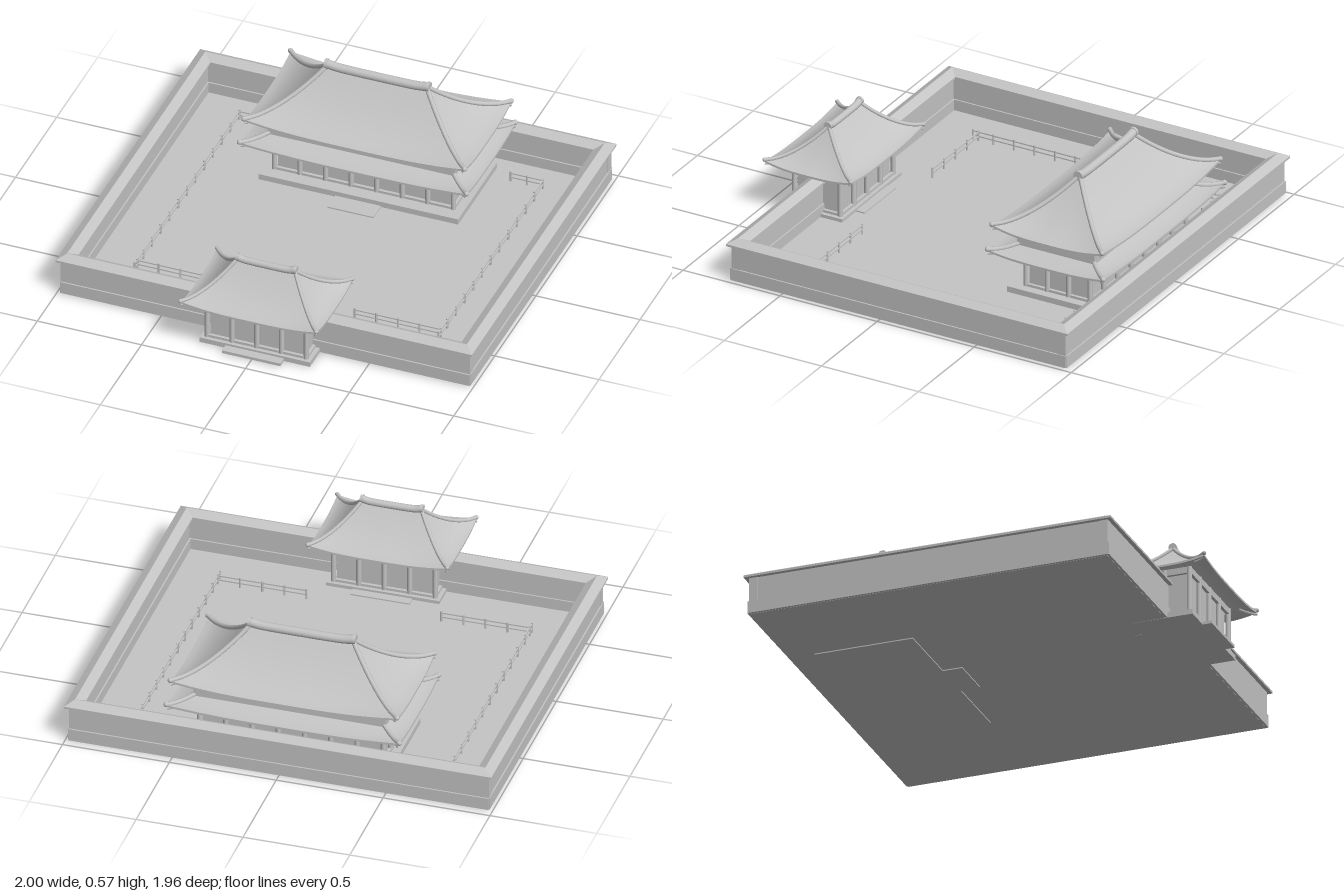
import * as THREE from 'three';
import { ParametricGeometry } from 'three/addons/geometries/ParametricGeometry.js';

const stone = new THREE.MeshStandardMaterial({ color: 0xc4c4c4 });
stone.name = 'pale grey';

function add(parent, name, geometry, x = 0, y = 0, z = 0) {
  const mesh = new THREE.Mesh(geometry, stone);
  mesh.name = name;
  mesh.position.set(x, y, z);
  parent.add(mesh);
  return mesh;
}

// Box given by its minimum and maximum on each axis
function block(parent, name, x0, x1, y0, y1, z0, z1) {
  return add(parent, name, new THREE.BoxGeometry(x1 - x0, y1 - y0, z1 - z0),
    (x0 + x1) / 2, (y0 + y1) / 2, (z0 + z1) / 2);
}

function group(parent, name, z = 0) {
  const g = new THREE.Group();
  g.name = name;
  g.position.z = z;
  parent.add(g);
  return g;
}

// Curved hip roof: r* = inner rectangle at the top, e* = eave rectangle
function hipRoof(parent, name, { rx, rz, ex, ez, yTop, yEave, lift, power, thick = 0.01, hip = 0.011 }) {
  const roof = group(parent, name);
  const height = (t, u) => yEave + (yTop - yEave) * Math.pow(1 - t, power) + lift * t * t * Math.abs(u) ** 3;
  for (let k = 0; k < 4; k++) {
    const [ra, ea, ro, eo] = k % 2 ? [rz, ez, rx, ex] : [rx, ex, rz, ez];
    const point = (t, u, drop, out) =>
      out.set((ra + (ea - ra) * t) * u, height(t, u) - drop, ro + (eo - ro) * t);
    const sheet = (part, fn, rows) => {
      const g = new ParametricGeometry(fn, 24, rows);
      g.computeVertexNormals();
      g.rotateY(k * Math.PI / 2);
      add(roof, part, g);
    };
    sheet('roofSlope', (u, v, o) => point(1 - v, 2 * u - 1, 0, o), 12);
    sheet('roofUnderside', (u, v, o) => point(1 - v, 1 - 2 * u, thick, o), 12);
    sheet('eaveEdge', (u, v, o) => point(1, 2 * u - 1, thick * (1 - v), o), 1);
  }
  // Hip ridges with a rafter below each corner
  for (const sx of [-1, 1]) for (const sz of [-1, 1]) {
    const along = (t, dy) => new THREE.Vector3(sx * (rx + (ex - rx) * t), height(t, 1) + dy, sz * (rz + (ez - rz) * t));
    const line = (from, dy) => new THREE.CatmullRomCurve3(
      Array.from({ length: 8 }, (_, i) => along(from + (1 - from) * i / 7, dy)));
    add(roof, 'hipRidge', new THREE.TubeGeometry(line(0, 0.003), 16, hip, 8));
    add(roof, 'cornerRafter', new THREE.TubeGeometry(line(0.7, -thick - 0.007), 6, hip * 0.7, 6));
    const tip = along(1, 0.003);
    add(roof, 'hipTip', new THREE.SphereGeometry(hip * 1.1, 10, 8), tip.x, tip.y, tip.z);
  }
  return roof;
}

// Rounded main ridge that rises slightly at both ends
function mainRidge(parent, half, y, radius, rise) {
  const pts = [-1, -0.8, -0.4, 0, 0.4, 0.8, 1].map(s =>
    new THREE.Vector3(s * half, y + rise * Math.abs(s) ** 6, 0));
  add(parent, 'mainRidge', new THREE.TubeGeometry(new THREE.CatmullRomCurve3(pts), 24, radius, 12));
  for (const s of [-1, 1]) {
    const end = new THREE.CylinderGeometry(radius * 1.1, radius * 1.1, 0.014, 14);
    add(parent, 'ridgeEnd', end.rotateZ(Math.PI / 2), s * half, y + rise, 0);
  }
}

// Recessed walls between columns, with sills and beams on each side
function timberBody(parent, hx, hz, y0, y1, baysX, baysZ, r) {
  const body = group(parent, 'timberBody');
  const h = y1 - y0;
  block(body, 'wallPanels', -hx + r, hx - r, y0, y1, -hz + r, hz - r);
  const column = (x, z) => add(body, 'column', new THREE.CylinderGeometry(r, r, h, 10), x, y0 + h / 2, z);
  for (const s of [-1, 1]) {
    for (let i = 0; i <= baysX; i++) column(-hx + 2 * hx * i / baysX, s * hz);
    for (let i = 1; i < baysZ; i++) column(s * hx, -hz + 2 * hz * i / baysZ);
    for (const [a, b] of [[y0, y0 + 0.012], [y1 - 0.03, y1]]) {
      block(body, 'beam', -hx, hx, a, b, s * hz - r * 0.6, s * hz + r * 0.6);
      block(body, 'beam', s * hx - r * 0.6, s * hx + r * 0.6, a, b, -hz, hz);
    }
  }
}

// Courtyard wall along x: plinth, body and peaked coping
function wallRun(parent, length, x, z, turn) {
  const wall = group(parent, 'courtyardWall', z);
  wall.position.x = x;
  wall.rotation.y = turn;
  const h = length / 2;
  block(wall, 'wallPlinth', -h, h, 0.006, 0.065, -0.027, 0.027);
  block(wall, 'wallBody', -h, h, 0.06, 0.185, -0.02, 0.02);
}

// Coping section swept along x with mitred ends
function coping(parent, x0, x1, z, turn, miter0, miter1) {
  const shape = new THREE.Shape([[-0.04, 0.178], [0.04, 0.178], [0.04, 0.188], [0, 0.21], [-0.04, 0.188]]
    .map(p => new THREE.Vector2(...p)));
  const g = new THREE.ExtrudeGeometry(shape, { depth: 1, bevelEnabled: false });
  const p = g.attributes.position;
  for (let i = 0; i < p.count; i++) {
    // Local x of the section points away from the courtyard
    const out = p.getX(i), end = p.getZ(i) > 0.5;
    const along = end ? x1 + out * miter1 : x0 - out * miter0;
    p.setXYZ(i, -along, p.getY(i), out);
  }
  // Sections run from +x to -x here, which keeps the faces outward
  g.translate(0, 0, z);
  g.rotateY(turn);
  g.computeVertexNormals();
  add(parent, 'wallCoping', g);
}

// Low fence: posts and two rails between two points
function fence(parent, ax, az, bx, bz, bays) {
  const run = group(parent, 'courtyardFence');
  for (let i = 0; i <= bays; i++) {
    const t = i / bays;
    add(run, 'fencePost', new THREE.CylinderGeometry(0.005, 0.005, 0.056, 6), ax + (bx - ax) * t, 0.036, az + (bz - az) * t);
  }
  for (const y of [0.035, 0.056]) block(run, 'fenceRail',
    Math.min(ax, bx) - 0.003, Math.max(ax, bx) + 0.003, y - 0.003, y + 0.003,
    Math.min(az, bz) - 0.003, Math.max(az, bz) + 0.003);
}

export function createModel() {
  const model = new THREE.Group();
  model.name = 'walledTempleCourt';

  // Ground and enclosing walls
  block(model, 'courtyardFloor', -0.975, 0.975, 0.005, 0.012, -0.955, 0.755);
  const zBack = -0.94, zFront = 0.74, xSide = 0.96, gap = 0.23;
  wallRun(model, 1.966, 0, zBack, 0);
  for (const s of [-1, 1]) {
    wallRun(model, zFront - zBack + 0.04, s * xSide, (zFront + zBack) / 2, Math.PI / 2);
    wallRun(model, 0.983 - gap, s * (0.983 + gap) / 2, zFront, 0);
  }
  coping(model, -xSide, xSide, -zBack, Math.PI, 1, 1);
  coping(model, -xSide, -gap, zFront, 0, 1, 0);
  coping(model, gap, xSide, zFront, 0, 0, 1);
  coping(model, zBack, zFront, xSide, Math.PI / 2, 1, 1);
  coping(model, -zFront, -zBack, xSide, -Math.PI / 2, 1, 1);

  // Main hall with two roofs
  const hall = group(model, 'mainHall', -0.605);
  block(hall, 'hallPlatform', -0.48, 0.48, 0, 0.04, -0.235, 0.235);
  block(hall, 'hallStep', -0.11, 0.11, 0, 0.018, 0.235, 0.328);
  timberBody(hall, 0.43, 0.165, 0.04, 0.235, 7, 3, 0.012);
  hipRoof(hall, 'lowerRoof', { rx: 0.44, rz: 0.19, ex: 0.545, ez: 0.298, yTop: 0.25, yEave: 0.218, lift: 0.018, power: 1.5 });
  block(hall, 'upperStorey', -0.45, 0.45, 0.225, 0.345, -0.2, 0.2);
  hipRoof(hall, 'upperRoof', { rx: 0.24, rz: 0.005, ex: 0.53, ez: 0.284, yTop: 0.54, yEave: 0.33, lift: 0.028, power: 1.6 });
  mainRidge(hall, 0.245, 0.541, 0.021, 0.01);

  // Entrance gate
  const gate = group(model, 'entranceGate', 0.745);
  block(gate, 'gatePlinth', -0.265, 0.265, 0.004, 0.028, -0.143, 0.143);
  block(gate, 'gateStep', -0.14, 0.14, 0.004, 0.018, 0.143, 0.187);
  block(gate, 'gateStep', -0.14, 0.14, 0.004, 0.018, -0.187, -0.143);
  timberBody(gate, 0.238, 0.118, 0.028, 0.25, 4, 2, 0.012);
  hipRoof(gate, 'gateRoof', { rx: 0.14, rz: 0.005, ex: 0.326, ez: 0.222, yTop: 0.395, yEave: 0.238, lift: 0.022, power: 1.6, hip: 0.009 });
  mainRidge(gate, 0.14, 0.398, 0.017, 0.01);

  // Fences on both sides of the court
  for (const s of [-1, 1]) {
    fence(model, s * 0.73, -0.77, s * 0.73, 0.5, 12);
    fence(model, s * 0.73, -0.77, s * 0.575, -0.77, 2);
    fence(model, s * 0.73, 0.47, s * 0.315, 0.47, 4);
  }
  return model;
}
